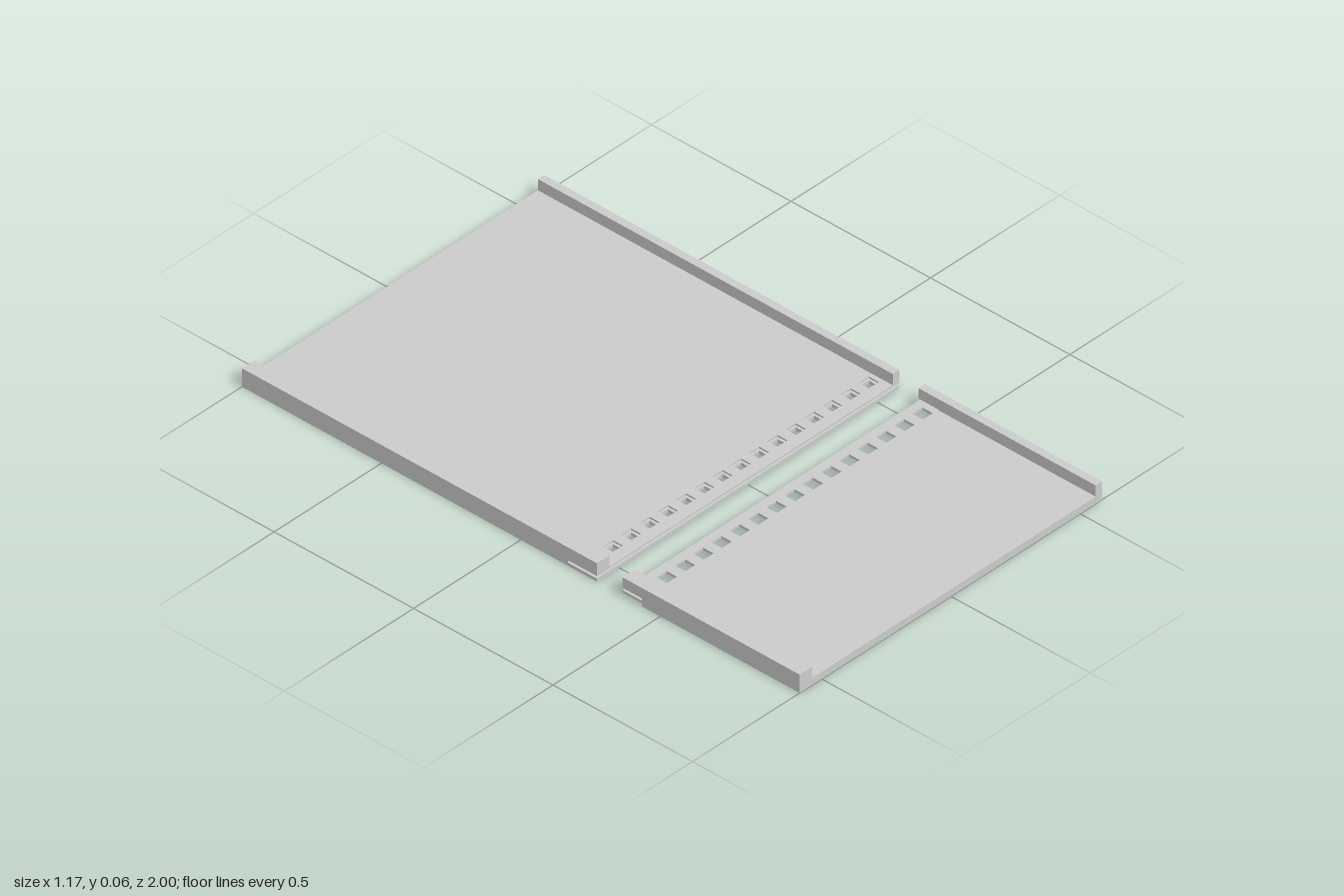
import * as THREE from 'three';

const X0 = -0.585, X1 = 0.585;       // outer sides
const RAIL_L = -0.537, RAIL_R = 0.56; // inner faces of the wide and narrow rails
const FLOOR = 0.0235, TOP = 0.06;
const material = new THREE.MeshStandardMaterial({ color: 0xcccccc });

function add(group, name, geometry) {
  const mesh = new THREE.Mesh(geometry, material);
  mesh.name = name;
  group.add(mesh);
}

function box(x0, x1, y0, y1, z0, z1) {
  return new THREE.BoxGeometry(x1 - x0, y1 - y0, z1 - z0)
    .translate((x0 + x1) / 2, (y0 + y1) / 2, (z0 + z1) / 2);
}

// Floor with a raised rail on each side, extruded along z
function tray(z0, z1) {
  const outline = [[X0, 0], [X1, 0], [X1, TOP], [RAIL_R, TOP], [RAIL_R, FLOOR],
    [RAIL_L, FLOOR], [RAIL_L, TOP], [X0, TOP]];
  const shape = new THREE.Shape(outline.map(([x, y]) => new THREE.Vector2(x, y)));
  return new THREE.ExtrudeGeometry(shape, { depth: z1 - z0, bevelEnabled: false }).translate(0, 0, z0);
}

function rectangle(path, x0, x1, a, b) {
  path.moveTo(x0, a);
  path.lineTo(x1, a);
  path.lineTo(x1, b);
  path.lineTo(x0, b);
  path.closePath();
  return path;
}

// Thin horizontal plate with a row of square holes
function perforatedPlate(y0, y1, z0, z1, holeZ0, holeZ1) {
  const shape = rectangle(new THREE.Shape(), X0, X1, -z1, -z0);
  for (let i = 0; i < 16; i++) {
    const x = -0.534 + i * 0.0707;
    shape.holes.push(rectangle(new THREE.Path(), x - 0.019, x + 0.019, -holeZ1, -holeZ0));
  }
  return new THREE.ExtrudeGeometry(shape, { depth: y1 - y0, bevelEnabled: false })
    .rotateX(-Math.PI / 2).translate(0, y0, 0);
}

// Rail ends carried on over the joint
function addRailEnds(group, y0, z0, z1) {
  add(group, 'wideRailEnd', box(X0, RAIL_L, y0, TOP, z0, z1));
  add(group, 'narrowRailEnd', box(RAIL_R, X1, y0, TOP, z0, z1));
}

export function createModel() {
  const model = new THREE.Group();
  model.name = 'splitTray';

  // Long rear panel, with a slot between two perforated lips
  const rear = new THREE.Group();
  rear.name = 'rearPanel';
  add(rear, 'rearTray', tray(-1, 0.17));
  add(rear, 'lowerLip', perforatedPlate(0, 0.01, 0.17, 0.273, 0.2, 0.236));
  add(rear, 'upperLip', perforatedPlate(0.018, FLOOR, 0.17, 0.273, 0.2, 0.236));
  addRailEnds(rear, FLOOR, 0.17, 0.273);

  // Short front panel, with a perforated tongue under overhanging rails
  const front = new THREE.Group();
  front.name = 'frontPanel';
  add(front, 'frontTray', tray(0.434, 1));
  add(front, 'tongue', perforatedPlate(0.0105, 0.0185, 0.364, 0.434, 0.392, 0.431));
  addRailEnds(front, 0.026, 0.364, 0.434);

  model.add(rear, front);
  return model;
}
